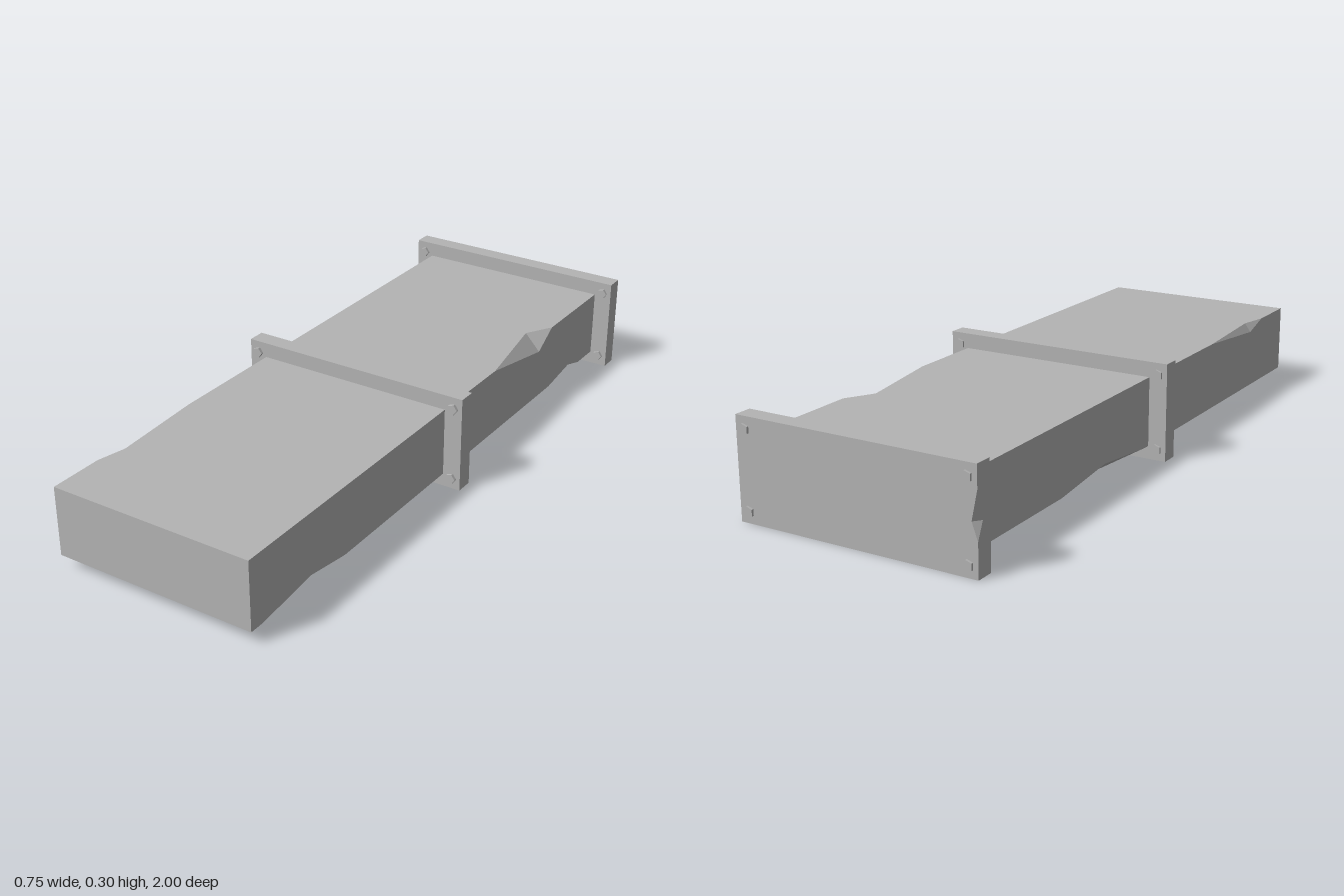
import * as THREE from 'three';

const steel = new THREE.MeshStandardMaterial({ color: 0xb4b4b4 });
steel.name = 'galvanised grey';

// Box of half sizes hx, hy running along z from z0 to z1, with cut dents on its long edges.
// Each dent: edge sign sx, sy; from, tip, to along z; inset dx, dy on the two adjoining faces.
function dentedBox(hx, hy, z0, z1, dents) {
  const pos = [];
  const tri = (a, b, c, out) => {
    const n = b.clone().sub(a).cross(c.clone().sub(a));
    for (const p of n.dot(out) < 0 ? [a, c, b] : [a, b, c]) pos.push(p.x, p.y, p.z);
  };
  const V = (x, y, z) => new THREE.Vector3(x, y, z);

  // outline of one long edge as seen on a face; dent tips move along that face
  const edge = (sx, sy, onX) => {
    const pts = [V(sx * hx, sy * hy, z0)];
    dents.filter(d => d.sx === sx && d.sy === sy).sort((a, b) => a.from - b.from).forEach(d => {
      pts.push(V(sx * hx, sy * hy, d.from));
      pts.push(onX ? V(sx * hx, sy * (hy - d.dy), d.tip) : V(sx * (hx - d.dx), sy * hy, d.tip));
      pts.push(V(sx * hx, sy * hy, d.to));
    });
    pts.push(V(sx * hx, sy * hy, z1));
    return pts;
  };
  const face = (pts, out, flat) => {
    const list = THREE.ShapeUtils.triangulateShape(pts.map(flat), []);
    for (const [a, b, c] of list) tri(pts[a], pts[b], pts[c], out);
  };

  // four long faces and two ends
  for (const s of [-1, 1]) {
    face([...edge(s, -1, true), ...edge(s, 1, true).reverse()], V(s, 0, 0), p => new THREE.Vector2(p.z, p.y));
    face([...edge(-1, s, false), ...edge(1, s, false).reverse()], V(0, s, 0), p => new THREE.Vector2(p.z, p.x));
    const z = s < 0 ? z0 : z1;
    face([V(-hx, -hy, z), V(hx, -hy, z), V(hx, hy, z), V(-hx, hy, z)], V(0, 0, s), p => new THREE.Vector2(p.x, p.y));
  }
  // two facets inside each dent
  for (const d of dents) {
    const P = V(d.sx * (hx - d.dx), d.sy * hy, d.tip);
    const Q = V(d.sx * hx, d.sy * (hy - d.dy), d.tip);
    const out = V(d.sx, d.sy, 0);
    for (const z of [d.from, d.to]) tri(V(d.sx * hx, d.sy * hy, z), P, Q, out);
  }
  const g = new THREE.BufferGeometry();
  g.setAttribute('position', new THREE.Float32BufferAttribute(pos, 3));
  g.computeVertexNormals();
  return g;
}

function add(parent, name, geometry, x, y, z) {
  const mesh = new THREE.Mesh(geometry, steel);
  mesh.name = name;
  mesh.position.set(x, y, z);
  parent.add(mesh);
  return mesh;
}

export function createModel() {
  const model = new THREE.Group();
  model.name = 'ventDuct';

  // long duct with battered edges
  const duct = dentedBox(0.32, 0.1065, -0.965, 1, [
    { sx: 1, sy: 1, from: -0.62, tip: -0.535, to: -0.24, dx: 0.05, dy: 0.053 },
    { sx: -1, sy: 1, from: 0.44, tip: 0.74, to: 0.83, dx: 0.02, dy: 0.027 },
    { sx: 1, sy: -1, from: 0.58, tip: 0.74, to: 0.95, dx: 0.045, dy: 0.024 },
    { sx: 1, sy: -1, from: -0.84, tip: -0.76, to: -0.62, dx: 0.05, dy: 0.022 },
    { sx: -1, sy: -1, from: -0.5, tip: -0.26, to: -0.01, dx: 0.03, dy: 0.025 },
  ]);
  add(model, 'duct', duct, 0, 0.1465, 0);

  // flanges; the end one has a nick in an upright back edge
  const flanges = [
    { name: 'middleFlange', z: 0.0335, dents: [] },
    { name: 'endFlange', z: -0.9655, dents: [{ sx: -1, sy: 1, from: 0.1, tip: 0.15, to: 0.235, dx: 0.018, dy: 0.022 }] },
  ];
  const boltGeometry = new THREE.CylinderGeometry(0.0165, 0.0165, 0.071, 5).toNonIndexed();
  boltGeometry.rotateX(Math.PI / 2).rotateZ(Math.PI / 2);
  boltGeometry.computeVertexNormals();

  for (const f of flanges) {
    const group = new THREE.Group();
    group.name = f.name;
    group.position.z = f.z;
    model.add(group);
    const plate = dentedBox(0.377, 0.0275, 0, 0.3, f.dents).rotateX(-Math.PI / 2);
    add(group, 'flangePlate', plate, 0, 0, 0);

    // corner bolts passing through the plate
    for (const x of [-0.348, 0.348])
      for (const y of [0.034, 0.264]) {
        const bolt = add(group, 'bolt', boltGeometry, x, y, 0.001);
        // one point of the pentagon aims towards +x
        bolt.rotation.z = pentagonTurn(boltGeometry);
      }
  }
  return model;
}

// angle that brings the nearest outer corner of the bolt onto the +x axis
function pentagonTurn(geometry) {
  const p = geometry.attributes.position;
  let best = Math.PI;
  for (let i = 0; i < p.count; i++) {
    if (Math.hypot(p.getX(i), p.getY(i)) < 0.01) continue;
    const a = Math.atan2(p.getY(i), p.getX(i));
    if (Math.abs(a) < Math.abs(best)) best = a;
  }
  return -best;
}
